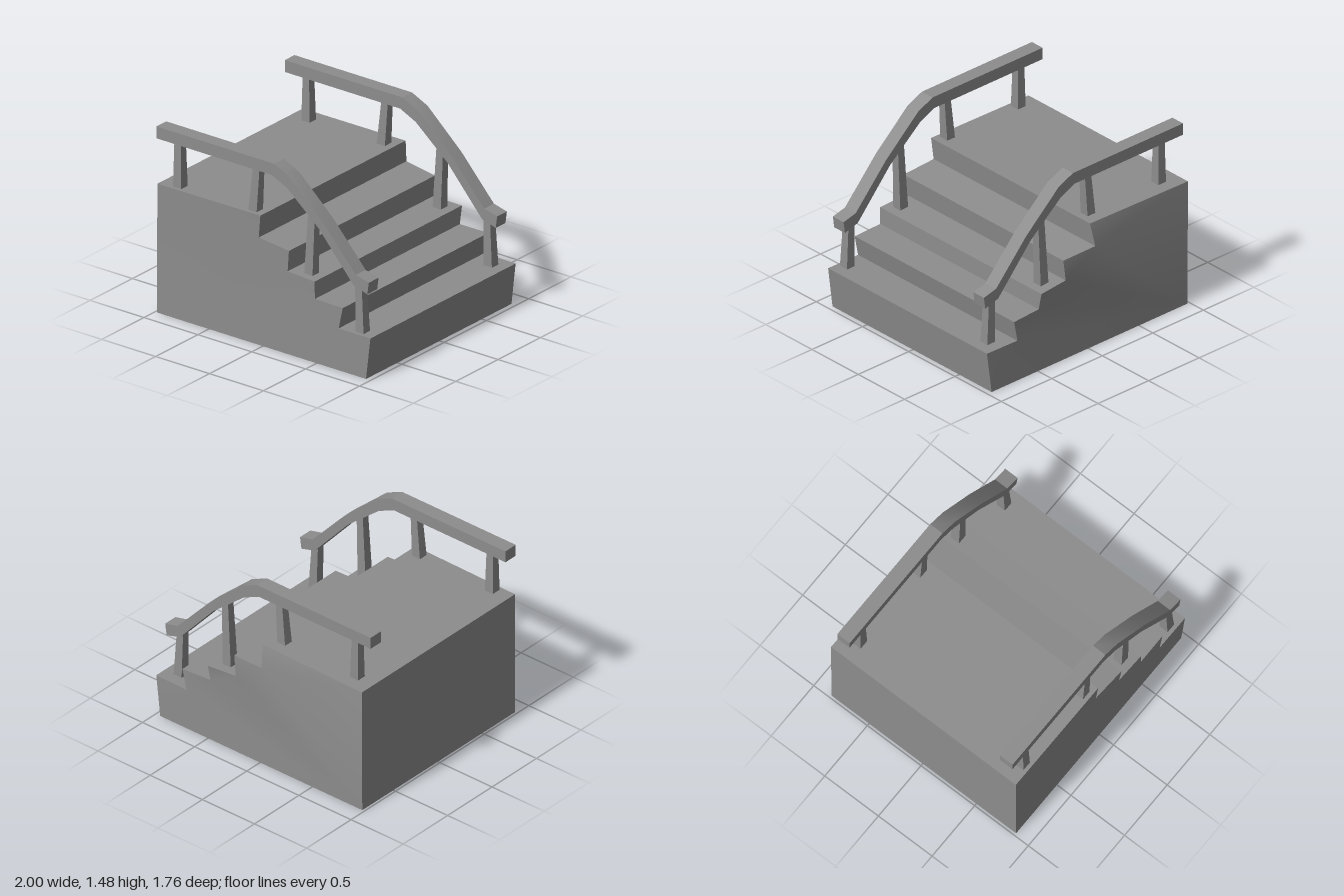
import * as THREE from 'three';
import { toCreasedNormals } from 'three/addons/utils/BufferGeometryUtils.js';

const material = new THREE.MeshStandardMaterial({ color: 0x8d8d8d });

function addMesh(parent, name, geometry) {
  const mesh = new THREE.Mesh(geometry, material);
  mesh.name = name;
  parent.add(mesh);
}

// Slightly uneven stair block: x, y, front z, back z for each profile corner
function stairGeometry() {
  const corners = [
    [-0.98, 0, 0.87, -0.85], [0.958, 0, 0.87, -0.85],
    [1, 0.335, 0.872, -0.845], [0.705, 0.335, 0.87, -0.852],
    [0.74, 0.505, 0.868, -0.855], [0.485, 0.51, 0.871, -0.842],
    [0.483, 0.648, 0.875, -0.87], [0.23, 0.66, 0.869, -0.855],
    [0.248, 0.83, 0.877, -0.85], [-0.04, 0.855, 0.867, -0.88],
    [-0.02, 1.037, 0.873, -0.845], [-0.98, 1.028, 0.868, -0.855],
  ];
  const n = corners.length;
  const positions = [];
  const index = [];
  for (const [x, y, front, back] of corners) positions.push(x, y, front, x, y, back);
  // treads, risers, back wall and underside
  for (let i = 0; i < n; i++) {
    const a = 2 * i, b = 2 * ((i + 1) % n);
    index.push(a, a + 1, b + 1, a, b + 1, b);
  }
  // sides: a fan to the inner step corners, plus one tooth per step
  const sideTriangle = (a, b, c) => index.push(2 * a, 2 * b, 2 * c, 2 * a + 1, 2 * c + 1, 2 * b + 1);
  for (let i = 1; i < n - 1; i += 2) {
    sideTriangle(0, i, i + 2);
    sideTriangle(i, i + 1, i + 2);
  }
  const geometry = new THREE.BufferGeometry();
  geometry.setAttribute('position', new THREE.Float32BufferAttribute(positions, 3));
  geometry.setIndex(index);
  return toCreasedNormals(geometry, 0.5);
}

// Bent handrail, extruded across its width
function railGeometry(zMin, zMax) {
  const outline = [
    [-1, 1.38], [0.07, 1.38], [0.215, 1.313], [0.51, 1.068], [0.83, 0.705], [0.957, 0.67],
    [0.97, 0.765], [0.85, 0.795], [0.55, 1.125], [0.235, 1.408], [0.09, 1.475], [-1, 1.475],
  ];
  const shape = new THREE.Shape(outline.map(([x, y]) => new THREE.Vector2(x, y)));
  const geometry = new THREE.ExtrudeGeometry(shape, { depth: zMax - zMin, bevelEnabled: false });
  geometry.translate(0, 0, zMin);
  return toCreasedNormals(geometry, 0.37);
}

// Tapered, leaning square post
function postGeometry([bx, by, tx, ty], z) {
  const geometry = new THREE.BoxGeometry(1, 1, 1);
  const p = geometry.attributes.position;
  for (let i = 0; i < p.count; i++) {
    const top = p.getY(i) > 0;
    const width = top ? 0.06 : 0.077;
    p.setXYZ(i, (top ? tx : bx) + p.getX(i) * width, top ? ty : by, z + p.getZ(i) * width);
  }
  geometry.computeVertexNormals();
  return geometry;
}

export function createModel() {
  const model = new THREE.Group();
  model.name = 'staircase';
  addMesh(model, 'steps', stairGeometry());

  // bottom x, bottom y, top x, top y, shift toward the back
  const posts = [
    [-0.818, 1.02, -0.82, 1.39, 0], [-0.12, 1.02, -0.09, 1.39, 0],
    [0.374, 0.64, 0.4, 1.19, -0.032], [0.874, 0.325, 0.858, 0.72, 0],
  ];
  const sides = [['front', 0.737, 0.853, 0.802], ['back', -0.78, -0.665, -0.715]];
  for (const [side, zMin, zMax, postZ] of sides) {
    const railing = new THREE.Group();
    railing.name = side + 'Railing';
    addMesh(railing, side + 'Handrail', railGeometry(zMin, zMax));
    posts.forEach((post, i) => addMesh(railing, side + 'Post' + (i + 1), postGeometry(post, postZ + post[4])));
    model.add(railing);
  }
  return model;
}
